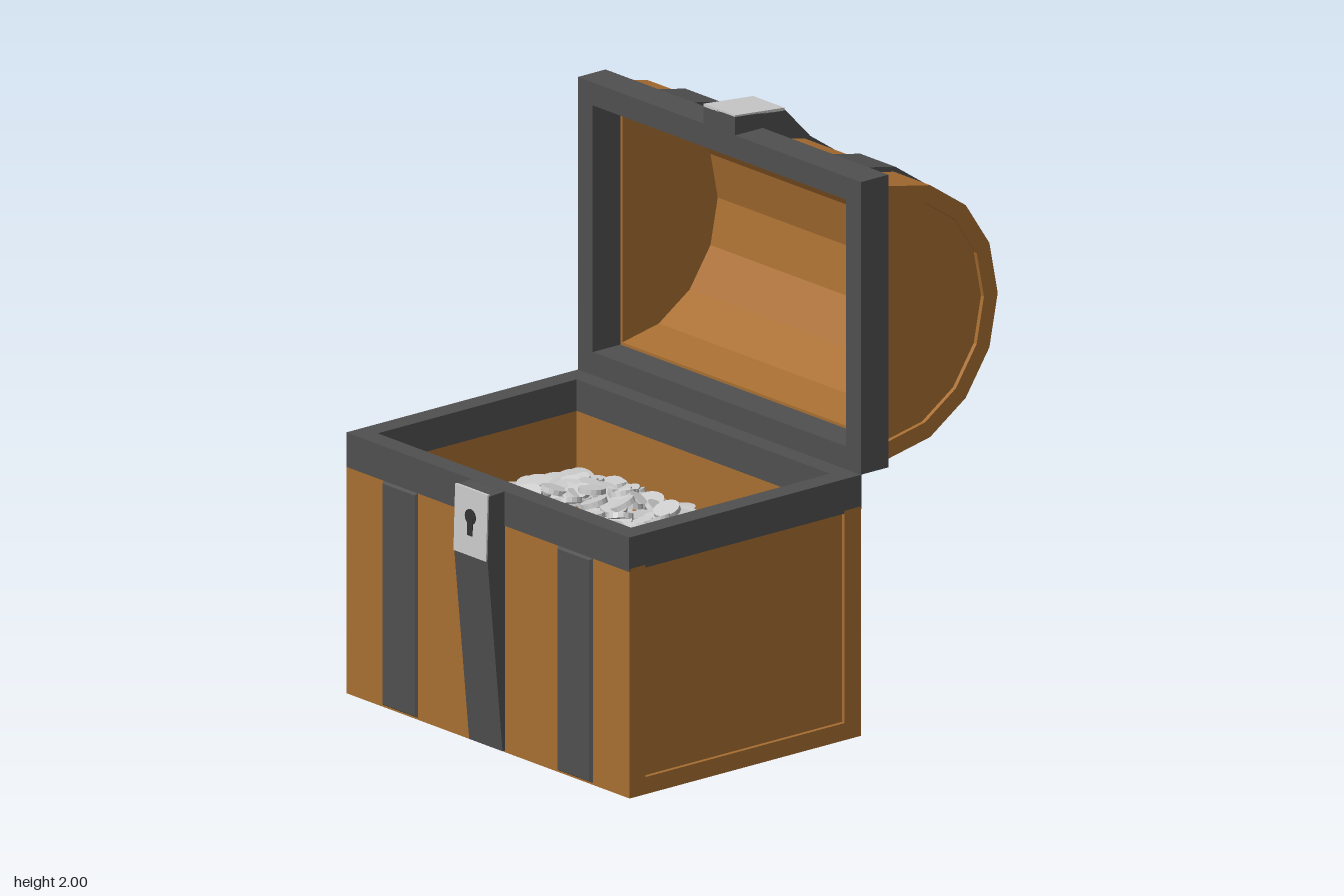
import * as THREE from 'three';
import { mergeGeometries } from 'three/addons/utils/BufferGeometryUtils.js';

const mat = (color) => new THREE.MeshStandardMaterial({ color, flatShading: true });

export function createModel() {
  const model = new THREE.Group();
  const wood = mat(0xa86e32), iron = mat(0x505050), dark = mat(0x333333), grey = mat(0xcccccc);

  const add = (name, geometry, material, parent = model) => {
    const mesh = new THREE.Mesh(geometry, material);
    mesh.name = name;
    parent.add(mesh);
    return mesh;
  };
  const group = (name) => {
    const g = new THREE.Group();
    g.name = name;
    model.add(g);
    return g;
  };
  // box given by its two corners
  const box = (x0, x1, y0, y1, z0, z1) =>
    new THREE.BoxGeometry(x1 - x0, y1 - y0, z1 - z0)
      .translate((x0 + x1) / 2, (y0 + y1) / 2, (z0 + z1) / 2);
  // side profile of [z, y] points, extruded along x
  const prism = (points, x0, x1) => {
    const shape = new THREE.Shape(points.map(([z, y]) => new THREE.Vector2(-z, y)));
    return new THREE.ExtrudeGeometry(shape, { depth: x1 - x0, bevelEnabled: false })
      .rotateY(Math.PI / 2).translate(x0, 0, 0);
  };
  // rectangular frame in the xy plane, extruded along z
  const frame = (w, h, iw, ih, depth) => {
    const rect = (Type, a, b) => new Type([[-a, -b], [a, -b], [a, b], [-a, b]]
      .map(([x, y]) => new THREE.Vector2(x / 2, y / 2)));
    const shape = rect(THREE.Shape, w, h);
    shape.holes.push(rect(THREE.Path, iw, ih));
    return new THREE.ExtrudeGeometry(shape, { depth, bevelEnabled: false });
  };
  // half round of the lid as [z, y] points
  const arc = (r) => Array.from({ length: 9 }, (_, i) => {
    const a = (i * Math.PI) / 8;
    return [-0.355 - r * Math.sin(a), 1.415 - r * Math.cos(a)];
  });
  const arch = (outer, inner, x0, x1) => prism([...arc(outer), ...arc(inner).reverse()], x0, x1);

  // Chest body: bottom, walls and recessed side panels
  const body = group('body');
  add('bottom', box(-0.72, 0.72, 0, 0.06, -0.235, 0.77), wood, body);
  add('frontWall', box(-0.72, 0.72, 0.06, 0.8, 0.7, 0.77), wood, body);
  add('backWall', box(-0.72, 0.72, 0.06, 0.8, -0.235, -0.165), wood, body);
  for (const s of [-1, 1]) {
    add('sidePanel', box(-0.03, 0.03, 0.06, 0.8, -0.165, 0.7).translate(s * 0.675, 0, 0), wood, body);
  }
  add('innerFloor', box(-0.645, 0.645, 0.5, 0.57, -0.165, 0.7), wood, body);
  add('bodyRim', frame(1.44, 1.01, 1.29, 0.865, 0.12).rotateX(-Math.PI / 2)
    .translate(0, 0.79, 0.267), iron, body);

  // Straps with chamfered edges on the front and back walls
  const strap = (x, z, facing) => {
    const g = new THREE.BoxGeometry(0.18, 0.785, 0.012);
    const p = g.attributes.position;
    for (let i = 0; i < p.count; i++) {
      if (p.getZ(i) > 0) p.setXY(i, p.getX(i) * 0.9, p.getY(i) * 0.98);
    }
    if (facing < 0) g.rotateY(Math.PI);
    return g.translate(x, 0.398, z);
  };
  const bandX = [-0.445, 0, 0.445];
  for (const x of bandX) {
    if (x) add('frontStrap', strap(x, 0.774, 1), iron, body);
    add('backStrap', strap(x, -0.239, -1), iron, body);
  }

  // Wedge-shaped lock strap with plate and keyhole
  const lock = group('lock');
  add('lockStrap', prism([[0.76, 0.005], [0.78, 0.005], [0.845, 0.68], [0.838, 0.905], [0.755, 0.91]],
    -0.085, 0.085), iron, lock);
  add('lockPlate', prism([[0.84, 0.68], [0.85, 0.68], [0.843, 0.91], [0.833, 0.91]],
    -0.083, 0.083), grey, lock);
  add('keyholeTop', new THREE.CylinderGeometry(0.027, 0.027, 0.006, 16).rotateX(Math.PI / 2)
    .translate(0, 0.815, 0.846), dark, lock);
  add('keyholeSlot', box(-0.012, 0.012, 0.75, 0.81, 0.84, 0.851), dark, lock);

  // Open lid: rim, barrel shell, recessed ends and bands
  const lid = group('lid');
  add('lidRim', frame(1.44, 1.02, 1.29, 0.86, 0.12).translate(0, 1.42, -0.355), iron, lid);
  add('lidBarrel', arch(0.475, 0.415, -0.72, 0.72), wood, lid);
  for (const s of [-1, 1]) {
    add('lidEnd', prism(arc(0.418), -0.035, 0.035).translate(s * 0.67, 0, 0), wood, lid);
  }
  for (const x of bandX) {
    const w = x ? 0.09 : 0.08;
    add('lidBand', arch(0.492, 0.47, x - w, x + w), iron, lid);
  }
  add('hasp', prism([[-0.235, 1.92], [-0.235, 1.994], [-0.45, 1.974], [-0.56, 1.86], [-0.36, 1.88]],
    -0.08, 0.08), iron, lid);
  add('haspPlate', prism([[-0.235, 1.99], [-0.235, 2], [-0.45, 1.98], [-0.45, 1.97]],
    -0.08, 0.08), grey, lid);

  // Heap of coins: an even bed with a loose mound on it
  let seed = 7;
  const rnd = () => (seed = (seed * 16807) % 2147483647) / 2147483647;
  const coins = [];
  const coin = (x, y, z, tilt) => {
    const g = new THREE.CylinderGeometry(0.046, 0.046, 0.018, 16);
    g.rotateX((rnd() - 0.5) * tilt).rotateZ((rnd() - 0.5) * tilt);
    coins.push(g.translate(x, y, z));
  };
  for (let i = 0; i < 14; i++) {
    for (let j = 0; j < 10; j++) {
      const x = -0.59 + (i * 1.18) / 13 + (rnd() - 0.5) * 0.02;
      const z = -0.115 + (j * 0.765) / 9 + (rnd() - 0.5) * 0.02;
      if (rnd() < 0.93) coin(x, 0.59 + rnd() * 0.03, z, 0.4);
    }
  }
  for (let i = 0; i < 270; i++) {
    const u = rnd() * 2 - 1, v = rnd() * 2 - 1;
    const mound = (1 - u * u) * (1 - v * v);
    coin(u * 0.59, 0.61 + mound * 0.12 * (0.4 + 0.6 * rnd()), 0.267 + v * 0.38, 0.9);
  }
  add('coins', mergeGeometries(coins), grey);

  return model;
}
